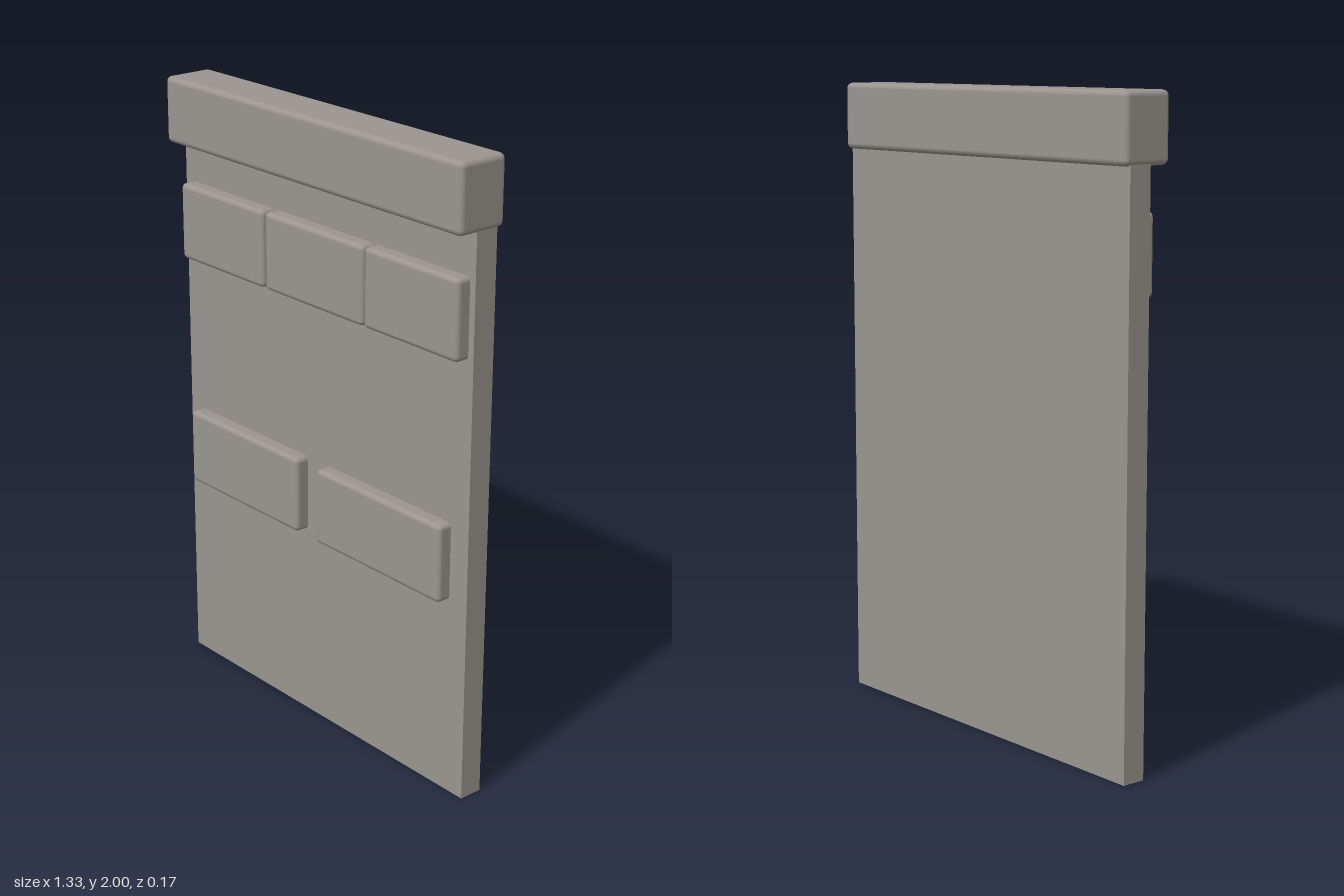
import * as THREE from 'three';
import { RoundedBoxGeometry } from 'three/addons/geometries/RoundedBoxGeometry.js';

export function createModel() {
  const group = new THREE.Group();
  const stone = new THREE.MeshStandardMaterial({ color: 0x9a9590 });
  stone.name = 'stone';

  // Box between two corners, with softened edges when a radius is given
  function block(name, [x0, y0, z0], [x1, y1, z1], radius = 0) {
    const size = [x1 - x0, y1 - y0, z1 - z0];
    const geometry = radius
      ? new RoundedBoxGeometry(...size, 2, radius)
      : new THREE.BoxGeometry(...size);
    const mesh = new THREE.Mesh(geometry, stone);
    mesh.name = name;
    mesh.position.set((x0 + x1) / 2, (y0 + y1) / 2, (z0 + z1) / 2);
    group.add(mesh);
  }

  // Wall slab and the heavier coping along its top
  block('wallPanel', [-0.66, 0, -0.063], [0.657, 1.82, 0.014]);
  block('coping', [-0.665, 1.79, -0.085], [0.665, 2, 0.085], 0.018);

  // Raised bricks, set into the front of the slab
  const rows = [
    { name: 'upperBrick', y: [1.413, 1.66], spans: [[-0.632, -0.223], [-0.214, 0.236], [0.241, 0.635]] },
    { name: 'lowerBrick', y: [0.645, 0.895], spans: [[-0.606, -0.065], [0.026, 0.583]] },
  ];
  for (const { name, y, spans } of rows) {
    spans.forEach(([x0, x1], i) =>
      block(name + (i + 1), [x0, y[0], -0.04], [x1, y[1], 0.06], 0.016));
  }

  return group;
}
